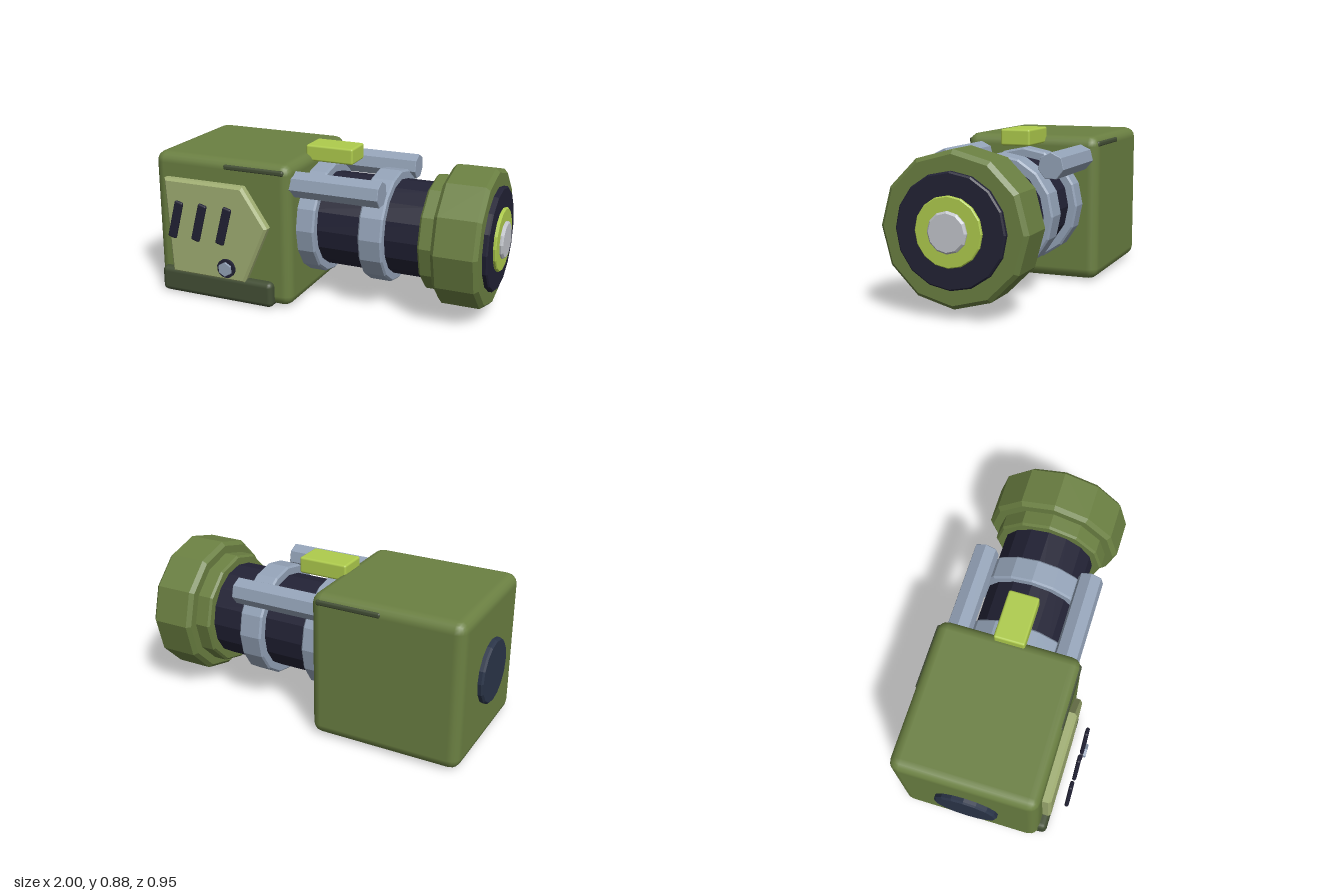
import * as THREE from 'three';
import { RoundedBoxGeometry } from 'three/addons/geometries/RoundedBoxGeometry.js';

const mat = (name, color) => {
  const m = new THREE.MeshStandardMaterial({ color });
  m.name = name;
  return m;
};

export function createModel() {
  const green = mat('olive green', 0x6b8042);
  const darkGreen = mat('dark green', 0x434f35);
  const pale = mat('pale olive', 0xa1af73);
  const lime = mat('lime', 0xafcc4d);
  const steel = mat('steel blue', 0x94a3b8);
  const navy = mat('dark navy', 0x222235);
  const slate = mat('slate blue', 0x2b3549);
  const silver = mat('silver', 0xc2c5cb);

  const model = new THREE.Group();
  model.name = 'lensDevice';
  const AY = 0.445, AZ = -0.07; // main axis of the barrel

  const add = (name, geometry, material) => {
    const mesh = new THREE.Mesh(geometry, material);
    mesh.name = name;
    model.add(mesh);
    return mesh;
  };

  // Rounded box given by its limits on each axis
  const box = (name, material, [x0, x1], [y0, y1], [z0, z1], r, seg = 2) => {
    const g = new RoundedBoxGeometry(x1 - x0, y1 - y0, z1 - z0, seg, r);
    g.translate((x0 + x1) / 2, (y0 + y1) / 2, (z0 + z1) / 2);
    return add(name, g, material);
  };

  // Faceted, bevelled disc along x with one corner pointing up
  const disc = (name, material, x0, x1, r, sides, bevel = 0.01, y = AY, z = AZ) => {
    const profile = [[0, x0], [r - bevel, x0], [r, x0 + bevel], [r, x1 - bevel], [r - bevel, x1], [0, x1]]
      .map(p => new THREE.Vector2(...p));
    let g = new THREE.LatheGeometry(profile, sides);
    g.rotateY(-Math.PI / 2).rotateZ(-Math.PI / 2);
    g = g.toNonIndexed();
    g.computeVertexNormals();
    g.translate(0, y, z);
    return add(name, g, material);
  };

  // Housing, base tray and grooves near the top edges
  box('housing', green, [-0.97, -0.115], [0.003, 0.83], [-0.475, 0.33], 0.06);
  box('baseTray', darkGreen, [-0.935, -0.215], [0, 0.15], [-0.44, 0.372], 0.03);
  box('frontGroove', darkGreen, [-0.52, -0.15], [0.768, 0.8], [0.29, 0.332], 0.012);
  box('backGroove', darkGreen, [-0.52, -0.15], [0.768, 0.8], [-0.477, -0.435], 0.012);
  disc('rearCap', slate, -1, -0.95, 0.18, 16, 0.01, 0.415);

  // Side panel with bevelled rim
  const inset = 0.014;
  const outline = [[-0.87, 0.68], [-0.392, 0.68], [-0.25, 0.47], [-0.392, 0.144], [-0.84, 0.144]];
  const shape = new THREE.Shape(outline.map(p => new THREE.Vector2(...p)));
  const panel = new THREE.ExtrudeGeometry(shape, {
    depth: 0.05, bevelEnabled: true, bevelThickness: inset, bevelSize: inset, bevelSegments: 1,
  });
  panel.translate(0, 0, 0.313);
  add('sidePanel', panel, pale);

  // Slanted vents and bolt standing off the panel
  for (const x of [-0.765, -0.615, -0.46]) {
    const vent = add('vent', new RoundedBoxGeometry(0.052, 0.225, 0.022, 2, 0.01), navy);
    vent.position.set(x, 0.485, 0.45);
    vent.rotation.z = -0.26;
  }
  const boltDisc = (name, material, r, sides, z0, z1) => {
    const g = new THREE.CylinderGeometry(r, r, z1 - z0, sides).rotateX(Math.PI / 2).toNonIndexed();
    g.computeVertexNormals();
    add(name, g, material).position.set(-0.45, 0.24, (z0 + z1) / 2);
  };
  boltDisc('boltWasher', navy, 0.055, 14, 0.445, 0.459);
  boltDisc('boltHead', steel, 0.041, 6, 0.456, 0.474);

  // Barrel with collars
  disc('barrel', navy, -0.14, 0.62, 0.27, 16);
  disc('rearCollar', steel, -0.13, -0.01, 0.32, 16);
  disc('midCollar', steel, 0.25, 0.388, 0.32, 16);
  disc('headFlange', green, 0.59, 0.71, 0.325, 12, 0.012);
  disc('head', green, 0.68, 0.935, 0.393, 12, 0.022);

  // Lens stack on the head
  disc('lensRim', navy, 0.92, 0.963, 0.291, 16, 0.008);
  disc('lensRing', lime, 0.95, 0.98, 0.177, 16, 0.005);
  disc('lensCore', silver, 0.96, 0.998, 0.105, 12, 0.01);

  // Guide rods either side of the axis
  for (const s of [-1, 1]) disc('guideRod', steel, -0.16, 0.385, 0.073, 7, 0.003, 0.711, AZ + s * 0.305);

  // Sight block on top
  box('sightBlock', lime, [-0.16, 0.125], [0.785, 0.877], [-0.158, 0.015], 0.012);

  return model;
}
